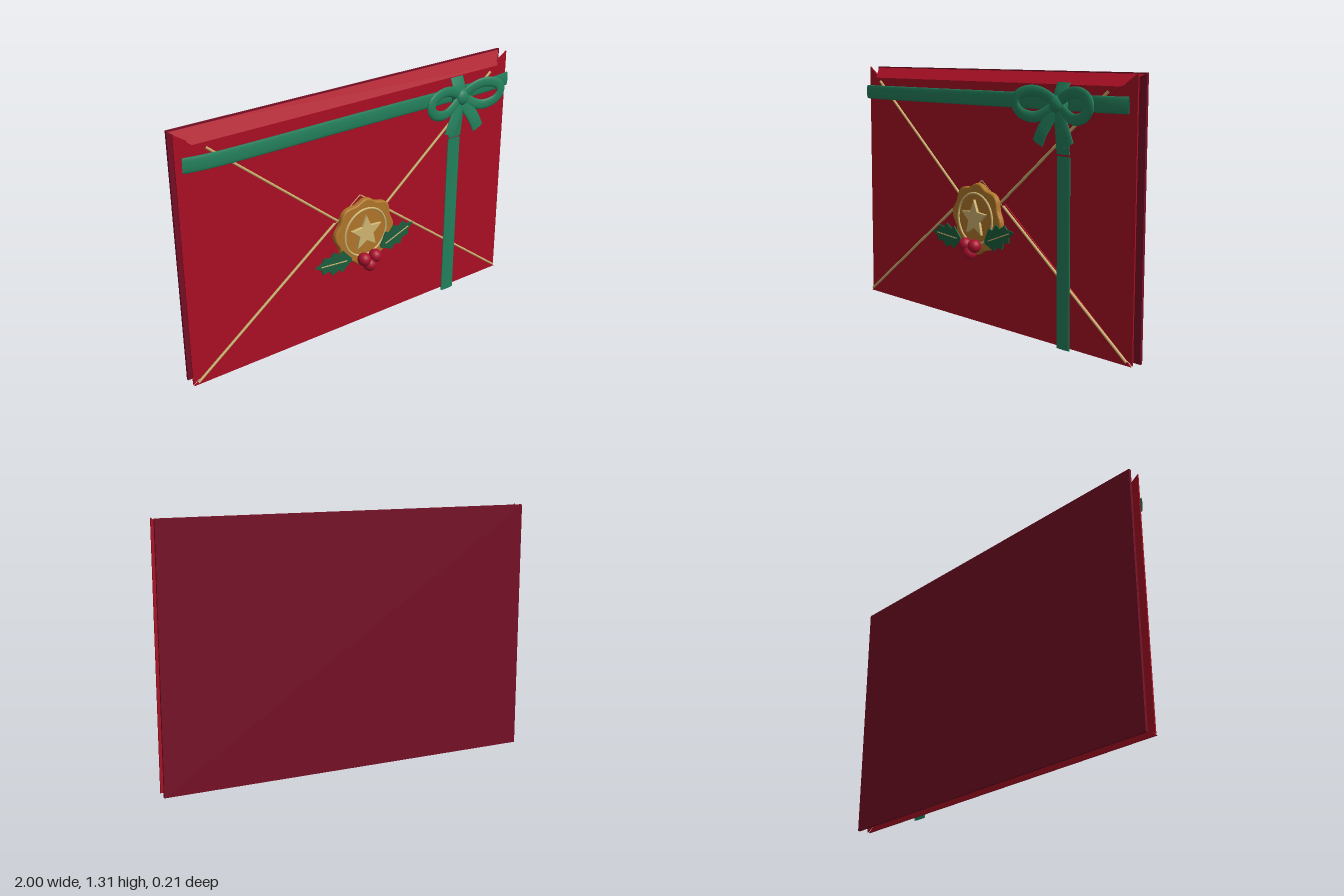
import * as THREE from 'three';

const V = (x, y, z) => new THREE.Vector3(x, y, z);
const mat = (name, color, side = THREE.FrontSide) => {
  const m = new THREE.MeshStandardMaterial({ color, side });
  m.name = name;
  return m;
};

// Swept band with a flat elliptical section, facing +z
function band(points, halfWidth, halfThick, segments = 40, closed = false) {
  const curve = new THREE.CatmullRomCurve3(points, closed, 'centripetal');
  const sides = 14, pos = [], idx = [];
  for (let i = 0; i <= segments; i++) {
    const u = i / segments;
    const p = curve.getPointAt(u), t = curve.getTangentAt(u);
    const side = t.clone().cross(V(0, 0, 1)).normalize();
    const up = side.clone().cross(t);
    for (let j = 0; j < sides; j++) {
      const a = (j / sides) * Math.PI * 2;
      const q = p.clone()
        .addScaledVector(side, Math.cos(a) * halfWidth)
        .addScaledVector(up, Math.sin(a) * halfThick);
      pos.push(q.x, q.y, q.z);
      if (i < segments) {
        const k = i * sides + j, k2 = i * sides + (j + 1) % sides;
        idx.push(k, k + sides, k2, k2, k + sides, k2 + sides);
      }
    }
  }
  const g = new THREE.BufferGeometry();
  g.setAttribute('position', new THREE.Float32BufferAttribute(pos, 3));
  g.setIndex(idx);
  g.computeVertexNormals();
  return g;
}

// Thin plate from an outline of [x, y] points
function plate(outline, depth, z, bevel = 0) {
  const shape = new THREE.Shape(outline.map(([x, y]) => new THREE.Vector2(x, y)));
  return new THREE.ExtrudeGeometry(shape, {
    depth, bevelEnabled: bevel > 0, bevelSize: bevel, bevelThickness: bevel, bevelSegments: 3,
  }).translate(0, 0, z);
}

export function createModel() {
  const model = new THREE.Group();
  model.name = 'giftEnvelope';
  const red = mat('envelope red', 0xa80e24, THREE.DoubleSide);
  const maroon = mat('back maroon', 0x760e26);
  const ribbon = mat('ribbon green', 0x23805c, THREE.DoubleSide);
  const gold = mat('pale gold', 0xd0b470);
  const wax = mat('wax amber', 0xb0762a);
  const holly = mat('holly green', 0x1c5e3e);
  const berry = mat('berry red', 0xa80f2c);
  const cream = mat('card cream', 0xdcbf8c);
  const liner = mat('liner green', 0x1a4a38);

  const add = (name, geometry, material, parent = model) => {
    const m = new THREE.Mesh(geometry, material);
    m.name = name;
    parent.add(m);
    return m;
  };
  const box = (name, w, h, d, y, z, m) =>
    add(name, new THREE.BoxGeometry(w, h, d).translate(0, y, z), m);

  // Back and the cards inside
  box('backPanel', 2, 1.31, 0.013, 0.655, -0.0985, maroon);
  box('card', 1.9, 1.17, 0.006, 0.655, -0.071, cream);
  box('innerLiner', 1.8, 1.07, 0.014, 0.655, -0.056, liner);

  // Folded flaps
  for (const s of [1, -1]) {
    add(s > 0 ? 'leftFlap' : 'rightFlap',
      plate([[s, 0.005], [s, 1.31], [0, 0.65]], 0.007, -0.043), red);
  }
  add('bottomFlap', plate([[-1, 0.002], [1, 0.002], [0, 0.765]], 0.007, -0.034), red);
  add('topFlap', plate([[-0.92, 1.25], [0, 0.51], [0.92, 1.25]], 0.006, -0.021), red);
  const fold = new THREE.BufferGeometry();
  fold.setAttribute('position', new THREE.Float32BufferAttribute([
    -1, 1.31, -0.1, -0.92, 1.25, -0.017, 0.92, 1.25, -0.017, 1, 1.31, -0.1], 3));
  fold.setIndex([0, 1, 2, 0, 2, 3]);
  fold.computeVertexNormals();
  add('topFold', fold, red);

  // Gold trim along the flap edges
  for (const s of [1, -1]) {
    const cord = (name, a, b) =>
      add(name, new THREE.TubeGeometry(new THREE.LineCurve3(a, b), 1, 0.007, 6), gold);
    cord('topFlapTrim', V(s * 0.86, 1.23, -0.006), V(0, 0.53, -0.006));
    cord('bottomFlapTrim', V(s * 0.98, 0.02, -0.02), V(0, 0.75, -0.02));
  }

  // Ribbons
  add('horizontalRibbon', band([V(-0.98, 1.17, -0.002), V(-0.86, 1.17, 0.016),
    V(0, 1.17, 0.017), V(0.86, 1.17, 0.016), V(0.98, 1.17, -0.002)], 0.038, 0.006), ribbon);
  add('verticalRibbon', band([V(0.602, 0, 0), V(0.602, 0.3, 0.003),
    V(0.602, 0.6, 0.006), V(0.602, 0.92, 0.01)], 0.043, 0.005), ribbon);
  add('upperRibbon', band([V(0.602, 0.93, 0.013), V(0.602, 1.06, 0.028),
    V(0.602, 1.17, 0.04), V(0.602, 1.21, 0.034), V(0.602, 1.26, 0.014)], 0.043, 0.005), ribbon);

  // Bow
  const bow = new THREE.Group();
  bow.name = 'bow';
  bow.position.set(0.602, 1.16, 0);
  model.add(bow);
  const loopPath = [[0.015, 0.005], [0.08, 0.05], [0.16, 0.06], [0.225, 0.035],
    [0.238, 0], [0.21, -0.04], [0.13, -0.06], [0.06, -0.035]];
  for (const s of [1, -1]) {
    add('bowLoop', band(loopPath.map(([x, y]) => V(s * x, y, 0.056 + x * 0.17)),
      0.027, 0.009, 60, true), ribbon, bow);
    add('bowTail', band([V(0, -0.01, 0.058), V(s * 0.04, -0.07, 0.07),
      V(s * 0.075, -0.13, 0.08), V(s * 0.098, -0.18, 0.082)], 0.036, 0.006, 20), ribbon, bow);
  }
  add('bowKnot', new THREE.SphereGeometry(0.043, 24, 16).scale(1, 1, 0.62)
    .translate(0, 0, 0.055), ribbon, bow);
  add('knotBase', new THREE.CylinderGeometry(0.04, 0.04, 0.05, 24).rotateX(Math.PI / 2)
    .translate(0, 0, 0.026), ribbon, bow);

  // Wax seal with ring and star
  const seal = new THREE.Group();
  seal.name = 'waxSeal';
  seal.position.set(0, 0.558, 0);
  model.add(seal);
  const blob = [], star = [];
  for (let i = 0; i < 96; i++) {
    const a = (i / 96) * Math.PI * 2;
    const r = 0.169 + 0.009 * Math.cos(8 * a + 0.6) + 0.004 * Math.sin(3 * a);
    blob.push([r * Math.cos(a), r * Math.sin(a)]);
  }
  for (let i = 0; i < 10; i++) {
    const a = Math.PI / 2 + (i * Math.PI) / 5, r = i % 2 ? 0.042 : 0.094;
    star.push([r * Math.cos(a), r * Math.sin(a)]);
  }
  add('sealBody', plate(blob, 0.015, 0.005, 0.009), wax, seal);
  add('sealRing', new THREE.TorusGeometry(0.13, 0.006, 8, 64).translate(0, 0, 0.031), gold, seal);
  add('sealStar', plate(star, 0.012, 0.028, 0.003), gold, seal);

  // Holly leaves with spiky edges
  const half = [[0, 0.008], [0.03, 0.035], [0.055, 0.06], [0.075, 0.042],
    [0.115, 0.064], [0.135, 0.037], [0.175, 0.045], [0.185, 0.02]];
  const leafOutline = [...half, [0.225, 0], ...half.map(([x, y]) => [x, -y]).reverse()];
  for (const [x, y, angle] of [[-0.1, 0.438, Math.PI - 0.08], [0.09, 0.45, 0.36]]) {
    const leaf = new THREE.Group();
    leaf.name = 'hollyLeaf';
    leaf.position.set(x, y, 0.04);
    leaf.rotation.z = angle;
    model.add(leaf);
    add('leafBlade', plate(leafOutline, 0.007, 0), holly, leaf);
    add('leafVein', new THREE.BoxGeometry(0.16, 0.005, 0.004).translate(0.11, 0, 0.008), gold, leaf);
  }

  // Berries
  for (const [x, y] of [[-0.035, 0.425], [0.035, 0.425], [0, 0.385]]) {
    add('berry', new THREE.SphereGeometry(0.035, 24, 16).translate(x, y, 0.066), berry);
  }
  return model;
}
